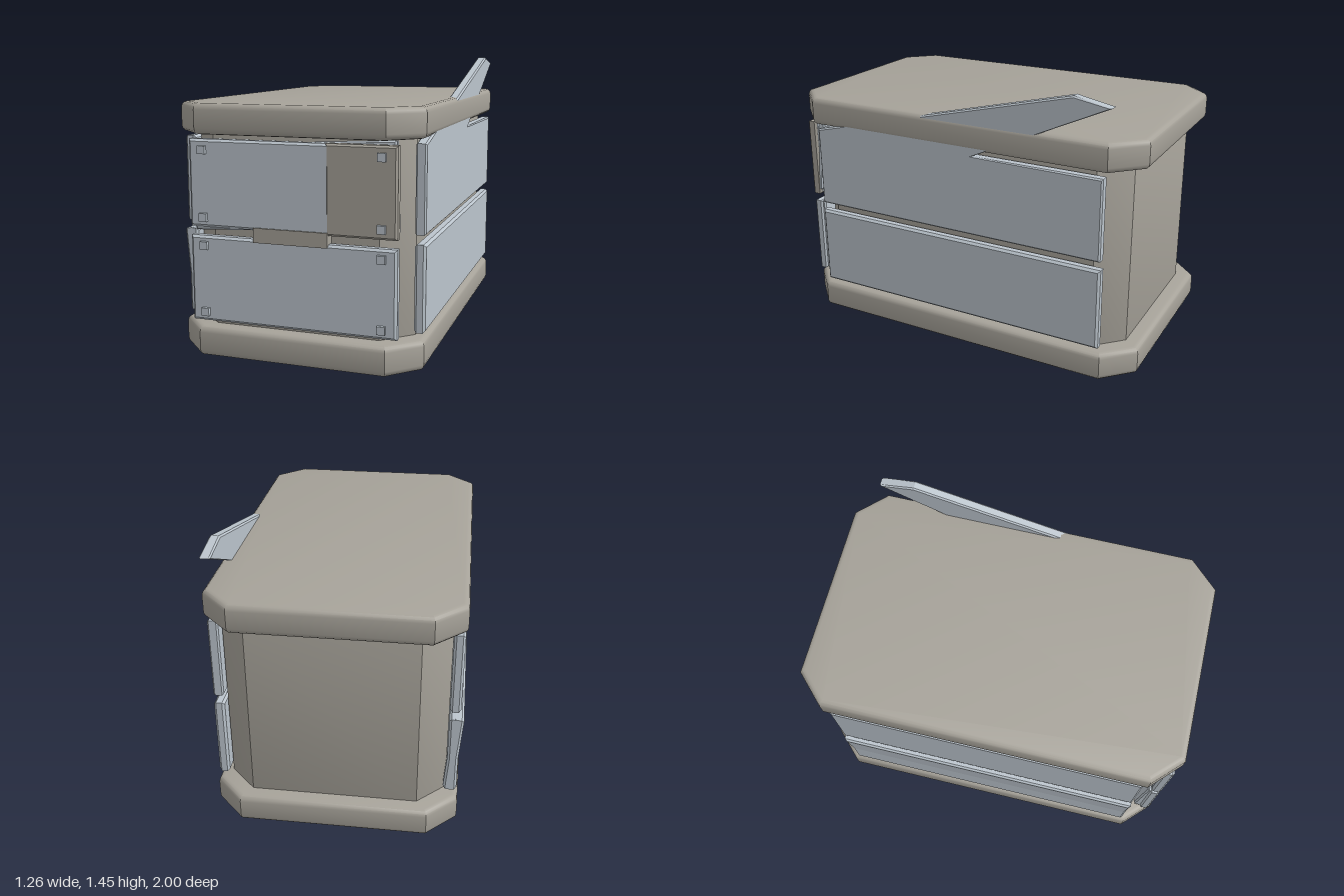
import * as THREE from 'three';
import { toCreasedNormals } from 'three/addons/utils/BufferGeometryUtils.js';

const taupe = new THREE.MeshStandardMaterial({ color: 0xa6a299 });
taupe.name = 'taupe';
const paleBlue = new THREE.MeshStandardMaterial({ color: 0xbbc4cc });
paleBlue.name = 'pale blue';

// Bevelled plate: outline in XY, centred on z = 0, bevel kept inside the outline
function plate(points, thickness, bevel, segments = 1) {
  const shape = new THREE.Shape(points.map(([x, y]) => new THREE.Vector2(x, y)));
  const geometry = new THREE.ExtrudeGeometry(shape, {
    depth: thickness - 2 * bevel,
    bevelEnabled: true,
    bevelThickness: bevel,
    bevelSize: bevel,
    bevelOffset: -bevel,
    bevelSegments: segments,
  });
  geometry.translate(0, 0, -thickness / 2 + bevel);
  return segments > 1 ? toCreasedNormals(geometry, 0.6) : geometry;
}

const rectangle = (w, h) => [[-w / 2, -h / 2], [w / 2, -h / 2], [w / 2, h / 2], [-w / 2, h / 2]];

// Rectangle with cut corners, half sizes a and b
const octagon = (a, b, cx, cy) => [
  [a, -b + cy], [a, b - cy], [a - cx, b], [-a + cx, b],
  [-a, b - cy], [-a, -b + cy], [-a + cx, -b], [a - cx, -b],
];

export function createModel() {
  const group = new THREE.Group();

  function add(name, geometry, material, x, y, z) {
    const mesh = new THREE.Mesh(geometry, material);
    mesh.name = name;
    mesh.position.set(x, y, z);
    group.add(mesh);
    return mesh;
  }

  // Base, core and lid
  const slab = (a, b, cut, height, bevel) =>
    plate(octagon(a, b, cut, cut), height, bevel, 3).rotateX(-Math.PI / 2);
  add('base', slab(0.627, 1, 0.15, 0.15, 0.03), taupe, 0.003, 0.075, 0);
  add('lid', slab(0.627, 1, 0.15, 0.15, 0.03), taupe, 0.003, 1.178, 0);
  add('core', slab(0.563, 0.916, 0.14, 1.06, 0.02), taupe, 0.005, 0.63, 0);

  // Straight side panels
  const rows = [{ y: 0.392, label: 'lower' }, { y: 0.866, label: 'upper' }];
  const sidePanel = plate(rectangle(1.67, 0.43), 0.055, 0.012).rotateY(Math.PI / 2);
  const frontPanel = plate(rectangle(1.05, 0.43), 0.055, 0.012);
  for (const { y, label } of rows) {
    add(label + 'LeftSidePanel', sidePanel, paleBlue, -0.588, y, 0);
    add(label + 'FrontPanel', frontPanel, paleBlue, 0.005, y, 0.951);
  }
  add('lowerRightSidePanel', sidePanel, paleBlue, 0.601, 0.392, 0);

  // Upper panel on the other side, with its splinter rising through the lid
  const splintered = [
    [0.83, 0.65], [0.83, 1.08], [-0.67, 1.452], [-0.86, 1.415],
    [-0.13, 1.075], [-0.83, 1.075], [-0.83, 0.65],
  ].map(([z, y]) => [-z, y]).reverse();
  add('splinteredSidePanel', plate(splintered, 0.053, 0.008).rotateY(Math.PI / 2),
    paleBlue, 0.6, 0, 0);

  // Loose panels leaning behind the straight ones
  const leaningFront = plate(rectangle(1.03, 0.42), 0.045, 0.008);
  add('upperLoosePanel', leaningFront, paleBlue, 0.005, 0.865, 0.922)
    .rotation.set(-0.083, 0, 0.05);
  add('lowerLoosePanel', leaningFront, paleBlue, 0.005, 0.392, 0.922)
    .rotation.x = 0.06;
  add('sideLoosePanel', sidePanel, paleBlue, -0.59, 0.392, 0).rotation.z = 0.08;

  // Front repair patch and clip
  add('frontPatch', plate(rectangle(0.347, 0.432), 0.055, 0.01), taupe, 0.357, 0.866, 0.953);
  add('frontClip', new THREE.BoxGeometry(0.375, 0.072, 0.06), taupe, 0.007, 0.629, 0.957);

  // Square rivets at the panel corners
  const rivet = new THREE.BoxGeometry(0.04, 0.04, 0.025);
  for (const x of [-0.445, 0.457]) {
    for (const y of [0.225, 0.56, 0.7, 1.03]) add('rivet', rivet, paleBlue, x, y, 0.983);
  }

  return group;
}
